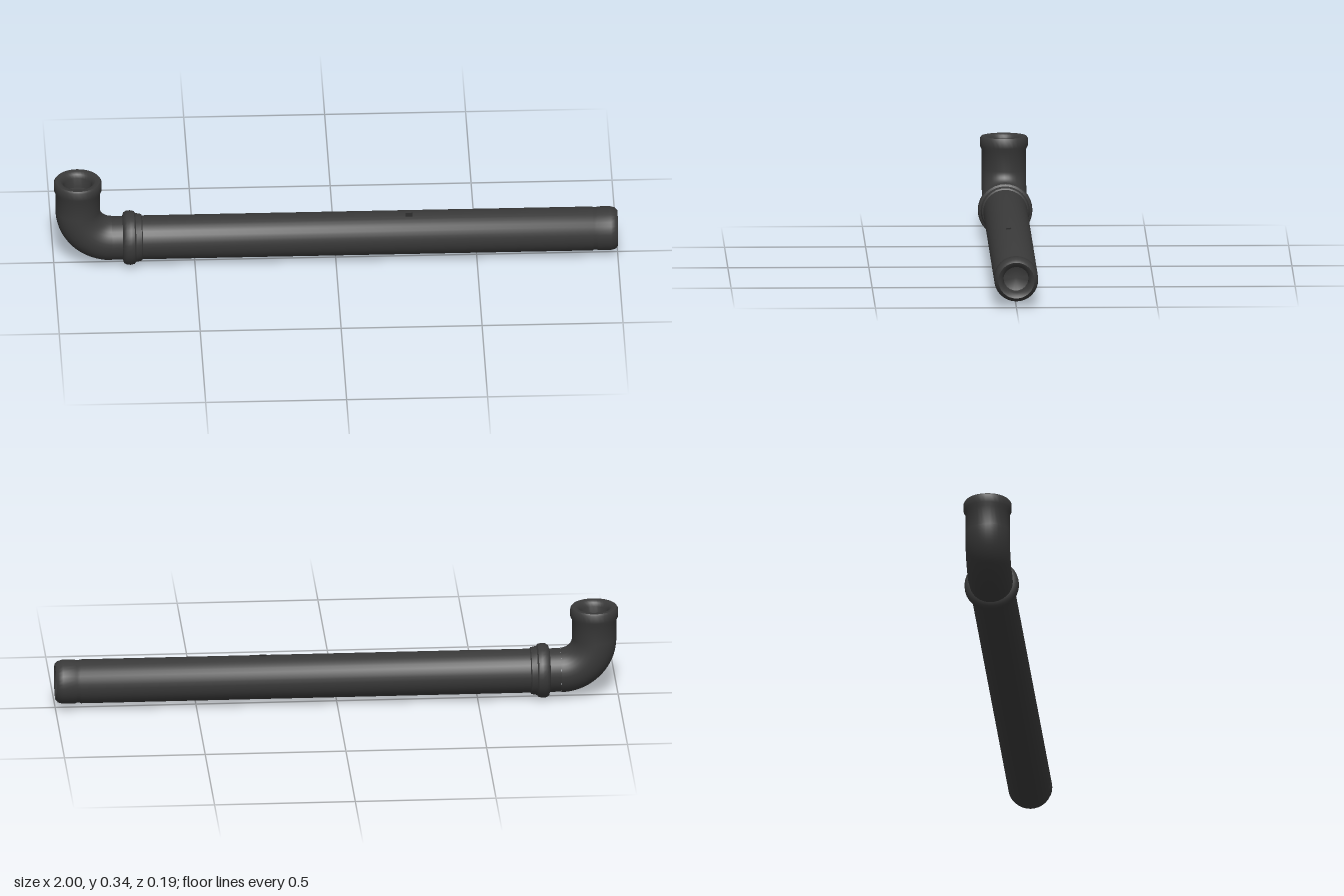
import * as THREE from 'three';
import { toCreasedNormals } from 'three/addons/utils/BufferGeometryUtils.js';

const AXIS_Y = 0.097;   // height of the long pipe's axis
const RISER_X = -0.915; // position of the upright socket's axis
const BEND = 0.12;      // centre-line radius of the elbow
const SIDES = 32;

// Revolves [radius, distance along axis] pairs, keeping sharp edges
function turned(profile) {
  const points = profile.map(([r, d]) => new THREE.Vector2(r, d));
  return toCreasedNormals(new THREE.LatheGeometry(points, SIDES), 0.7);
}

export function createModel() {
  const group = new THREE.Group();
  const pipeMaterial = new THREE.MeshStandardMaterial({ color: 0x393939 });
  pipeMaterial.name = 'charcoal';
  const markMaterial = new THREE.MeshStandardMaterial({ color: 0x262626 });
  markMaterial.name = 'darkCharcoal';

  const add = (name, geometry, material = pipeMaterial) => {
    const mesh = new THREE.Mesh(geometry, material);
    mesh.name = name;
    group.add(mesh);
    return mesh;
  };
  const alongX = (mesh) => {
    mesh.rotation.z = -Math.PI / 2;
    mesh.position.y = AXIS_Y;
    return mesh;
  };

  // Long pipe with a rounded nose and a shallow bore
  alongX(add('longPipe', turned([
    [0.077, RISER_X + BEND], [0.078, -0.7], [0.078, 0.91], [0.075, 0.915],
    [0.075, 0.925], [0.078, 0.93], [0.078, 0.975], [0.073, 0.992],
    [0.064, 1], [0.054, 0.995], [0.046, 0.98], [0.044, 0.94], [0, 0.925],
  ])));

  // Raised joint collar between elbow and pipe
  alongX(add('jointCollar', turned([
    [0.076, -0.757], [0.09, -0.752], [0.096, -0.742], [0.097, -0.728],
    [0.094, -0.715], [0.087, -0.71], [0.083, -0.69], [0.076, -0.685],
  ])));

  // Quarter-turn elbow
  const bend = new THREE.TorusGeometry(BEND, 0.079, SIDES, 20, Math.PI / 2);
  bend.rotateZ(Math.PI);
  add('elbowBend', bend).position.set(RISER_X + BEND, AXIS_Y + BEND, 0);

  // Upright socket with a thicker lip and recessed mouth
  add('uprightSocket', turned([
    [0.079, AXIS_Y + BEND], [0.079, 0.288], [0.085, 0.3], [0.085, 0.328],
    [0.08, 0.335], [0.064, 0.335], [0.055, 0.328], [0.05, 0.315],
    [0.046, 0.28], [0, 0.27],
  ])).position.x = RISER_X;

  // Small nick on top of the pipe
  const nick = add('surfaceNick', new THREE.BoxGeometry(0.025, 0.004, 0.018), markMaterial);
  nick.position.set(0.26, AXIS_Y + 0.0765, 0.01);
  nick.rotation.x = 0.13;

  return group;
}
